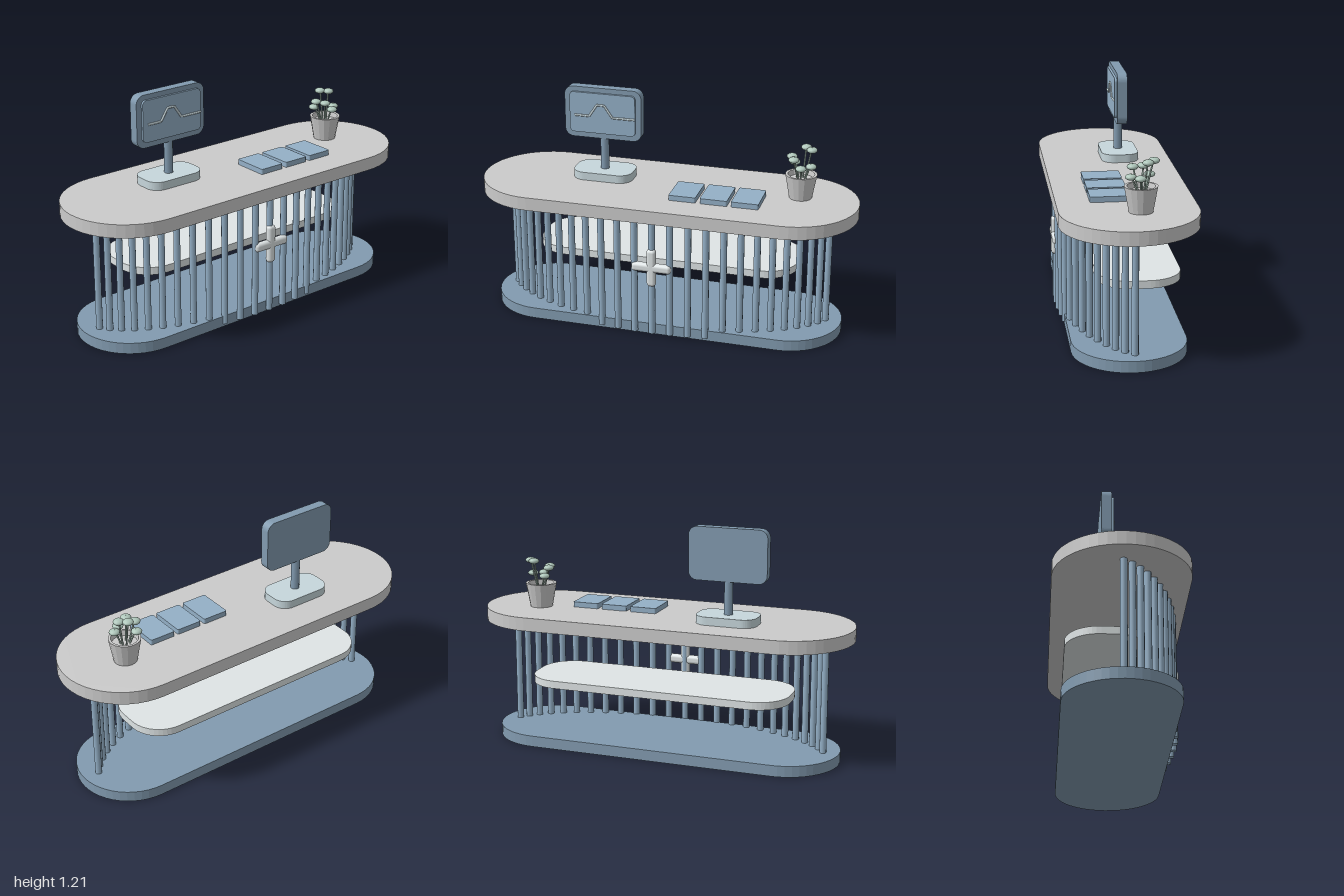
import * as THREE from 'three';
import { RoundedBoxGeometry } from 'three/addons/geometries/RoundedBoxGeometry.js';

const mat = (color, extra = {}) => new THREE.MeshStandardMaterial({ color, ...extra });
const grey = mat(0xcccccc);
const pale = mat(0xdfe5e6);
const blue = mat(0x94b0c7);
const darkBlue = mat(0x829bb0);
const sage = mat(0xb0c8bc);
const mist = mat(0xc7d7dc);

function add(parent, name, geometry, material, x = 0, y = 0, z = 0) {
  const mesh = new THREE.Mesh(geometry, material);
  mesh.name = name;
  mesh.position.set(x, y, z);
  parent.add(mesh);
  return mesh;
}

// Rectangle with round corners, extruded along +z
function roundedPlate(w, h, r, depth, segments = 6) {
  const x = w / 2 - r, y = h / 2 - r, q = Math.PI / 2;
  const s = new THREE.Shape();
  s.absarc(x, y, r, 0, q);
  s.absarc(-x, y, r, q, 2 * q);
  s.absarc(-x, -y, r, 2 * q, 3 * q);
  s.absarc(x, -y, r, 3 * q, 4 * q);
  s.closePath();
  return new THREE.ExtrudeGeometry(s, { depth, bevelEnabled: false, curveSegments: segments });
}

// The same plate lying flat, its underside on y = 0
const slab = (w, d, r, height, segments) =>
  roundedPlate(w, d, r, height, segments).rotateX(-Math.PI / 2);

// Straight round rod between two points
function rod(a, b, radius, sides = 6) {
  return new THREE.TubeGeometry(new THREE.LineCurve3(a, b), 1, radius, sides);
}

function buildScreen() {
  const g = new THREE.Group();
  g.name = 'monitor';
  g.position.set(-0.362, 0, -0.07);
  add(g, 'monitorBase', slab(0.32, 0.197, 0.07, 0.043), mist, 0, 0.716, 0);
  add(g, 'monitorNeck', new THREE.CylinderGeometry(0.023, 0.023, 0.22, 12), darkBlue, 0, 0.85, 0);
  add(g, 'monitorFrame', roundedPlate(0.415, 0.275, 0.045, 0.052), darkBlue, 0, 1.068, -0.026);
  add(g, 'monitorPanel', roundedPlate(0.355, 0.218, 0.022, 0.014), blue, 0, 1.07, 0.024);
  // Raised trace line
  const trace = new THREE.CurvePath();
  const pts = [[-0.15, 1.054], [-0.07, 1.054], [-0.028, 1.117], [0.012, 1.117], [0.055, 1.054], [0.177, 1.054]]
    .map(([x, y]) => new THREE.Vector3(x, y, 0.039));
  for (let i = 1; i < pts.length; i++) trace.add(new THREE.LineCurve3(pts[i - 1], pts[i]));
  add(g, 'traceLine', new THREE.TubeGeometry(trace, 48, 0.006, 6), mist);
  return g;
}

function buildPlant() {
  const g = new THREE.Group();
  g.name = 'pottedPlant';
  g.position.set(0.69, 0.716, -0.052);
  // Hollow tapered pot
  const profile = [[0, 0], [0.059, 0], [0.082, 0.127], [0.069, 0.127], [0.064, 0.1], [0, 0.1]]
    .map(([x, y]) => new THREE.Vector2(x, y));
  add(g, 'pot', new THREE.LatheGeometry(profile, 16), mat(0xcccccc, { flatShading: true, side: THREE.DoubleSide }));
  // Flat leaf heads on thin leaning stems
  const heads = [
    [0.012, 0.252, -0.058], [0.046, 0.25, -0.026], [-0.053, 0.212, -0.016],
    [-0.035, 0.212, 0.037], [0.005, 0.172, 0.05], [0.05, 0.174, 0.01], [-0.042, 0.172, -0.045],
  ];
  for (const [x, y, z] of heads) {
    const tip = new THREE.Vector3(x, y + 0.015, z);
    add(g, 'stem', rod(new THREE.Vector3(x * 0.35, 0.09, z * 0.35), tip, 0.0045), sage);
    add(g, 'leaf', new THREE.SphereGeometry(0.028, 12, 8).scale(1, 0.55, 1), sage, x, y, z);
  }
  return g;
}

export function createModel() {
  const model = new THREE.Group();
  model.name = 'receptionCounter';

  add(model, 'plinth', slab(1.88, 0.57, 0.285, 0.058), darkBlue);
  add(model, 'countertop', slab(2, 0.68, 0.34, 0.07), grey, 0, 0.646, 0);
  add(model, 'shelf', slab(1.4, 0.42, 0.17, 0.04), pale, 0, 0.33, -0.06);

  // Upright slats along a shallow front arc
  const slats = new THREE.Group();
  slats.name = 'slats';
  const slat = new THREE.CylinderGeometry(0.0175, 0.0175, 0.635, 10);
  for (let i = -12; i <= 12; i++) {
    const a = THREE.MathUtils.degToRad(i * 6);
    add(slats, 'slat', slat, blue, 0.9 * Math.sin(a), 0.3325, -0.14 + 0.44 * Math.cos(a));
  }
  model.add(slats);

  // Cross emblem on the front
  add(model, 'crossUpright', new RoundedBoxGeometry(0.048, 0.206, 0.04, 3, 0.018), pale, 0, 0.392, 0.307);
  add(model, 'crossBar', new RoundedBoxGeometry(0.21, 0.048, 0.04, 3, 0.018), pale, 0, 0.392, 0.307);

  // Three tablets on the counter
  for (const x of [0.122, 0.286, 0.448])
    add(model, 'tablet', slab(0.141, 0.197, 0.008, 0.029, 3), blue, x, 0.715, 0.075);

  model.add(buildScreen(), buildPlant());
  return model;
}
